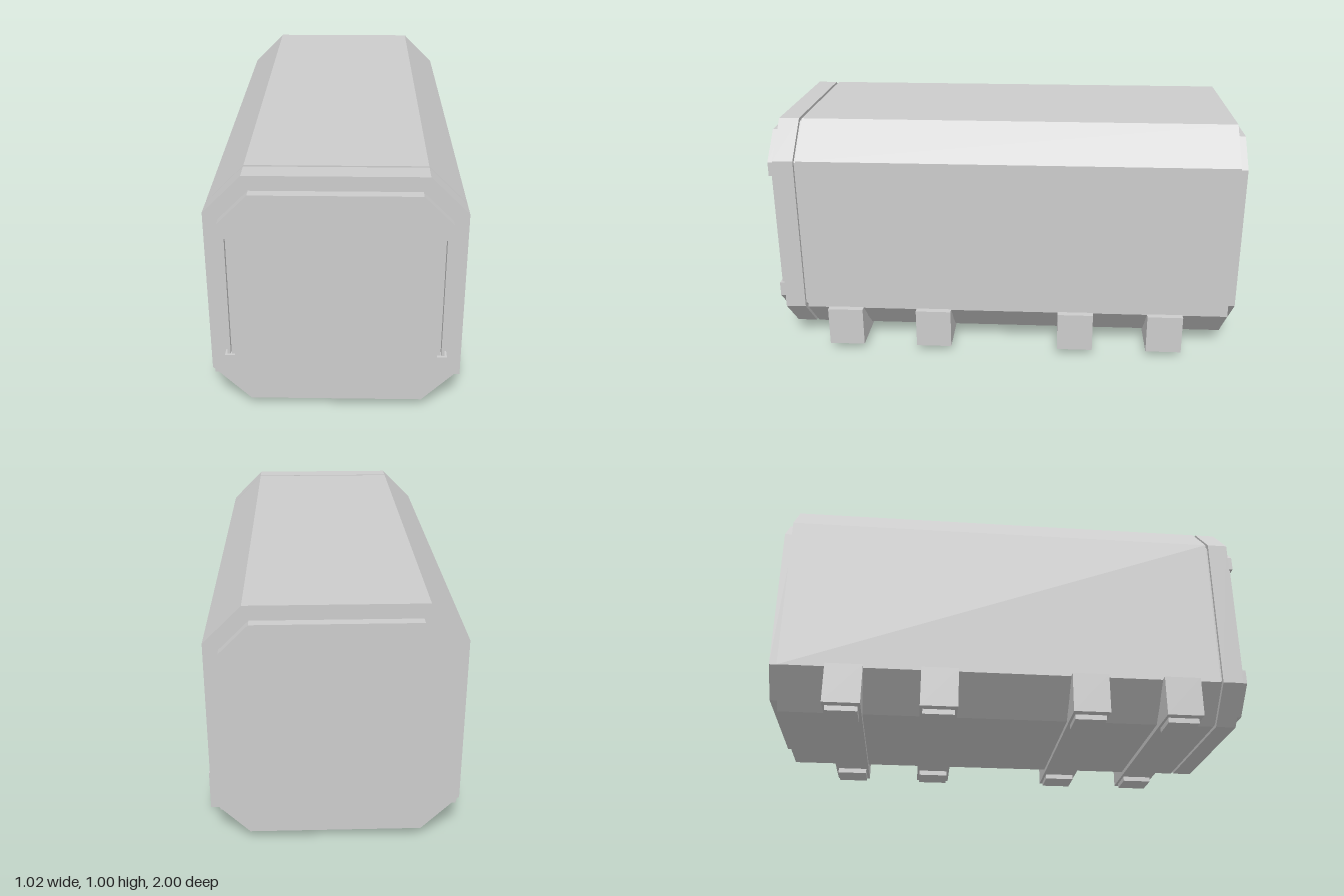
import * as THREE from 'three';

const material = new THREE.MeshStandardMaterial({ color: 0xcccccc, flatShading: true });

// Extrude an outline of [x, y] points from z0 to z1
function prism(name, points, z0, z1) {
  const shape = new THREE.Shape(points.map(([x, y]) => new THREE.Vector2(x, y)));
  const geometry = new THREE.ExtrudeGeometry(shape, { depth: z1 - z0, bevelEnabled: false });
  geometry.translate(0, 0, z0);
  const mesh = new THREE.Mesh(geometry, material);
  mesh.name = name;
  return mesh;
}

function box(name, w, h, d, x, y, z) {
  const mesh = new THREE.Mesh(new THREE.BoxGeometry(w, h, d), material);
  mesh.name = name;
  mesh.position.set(x, y, z);
  return mesh;
}

// Right half (from bottom to top) plus its mirror image
const mirrored = (half) => [...half, ...half.map(([x, y]) => [-x, y]).reverse()];

// Octagon centred on the container axis: half size and chamfer
const AXIS = 0.52;
const octagonHalf = (r, c) => [
  [r - c, AXIS - r], [r, AXIS - r + c], [r, AXIS + r - c], [r - c, AXIS + r],
];

export function createModel() {
  const group = new THREE.Group();
  group.name = 'container';

  // Hull, recessed seam and front collar
  const hull = mirrored(octagonHalf(0.48, 0.145));
  group.add(prism('hull', hull, -0.96, 0.863));
  group.add(prism('seam', mirrored(octagonHalf(0.465, 0.14)), 0.863, 0.875));
  group.add(prism('frontCollar', hull, 0.875, 0.96));

  // End panels; the front one is notched on both sides
  const panel = octagonHalf(0.423, 0.112);
  group.add(prism('backPanel', mirrored(panel), -1, -0.96));
  const door = [
    ...panel.slice(0, 2),
    [0.423, 0.27], [0.384, 0.27], [0.384, 0.77], [0.423, 0.77],
    ...panel.slice(2),
  ];
  group.add(prism('frontDoor', mirrored(door), 0.96, 1));

  // Twin upright bars in each door notch
  for (const side of [1, -1]) {
    group.add(box('innerDoorBar', 0.014, 0.5, 0.03, side * 0.391, AXIS, 0.975));
    group.add(box('outerDoorBar', 0.012, 0.5, 0.03, side * 0.408, AXIS, 0.975));
  }

  // Cradles under the hull, each with two pads
  const cradle = mirrored([
    [0.508, 0.021], [0.508, 0.188], [0.475, 0.188], [0.405, 0.105], [0.335, 0.042],
  ]);
  for (const z of [-0.693, -0.308, 0.308, 0.693]) {
    group.add(prism('cradle', cradle, z - 0.076, z + 0.076));
    for (const side of [1, -1]) {
      group.add(box('footPad', 0.124, 0.024, 0.13, side * 0.41, 0.012, z));
    }
  }
  return group;
}
